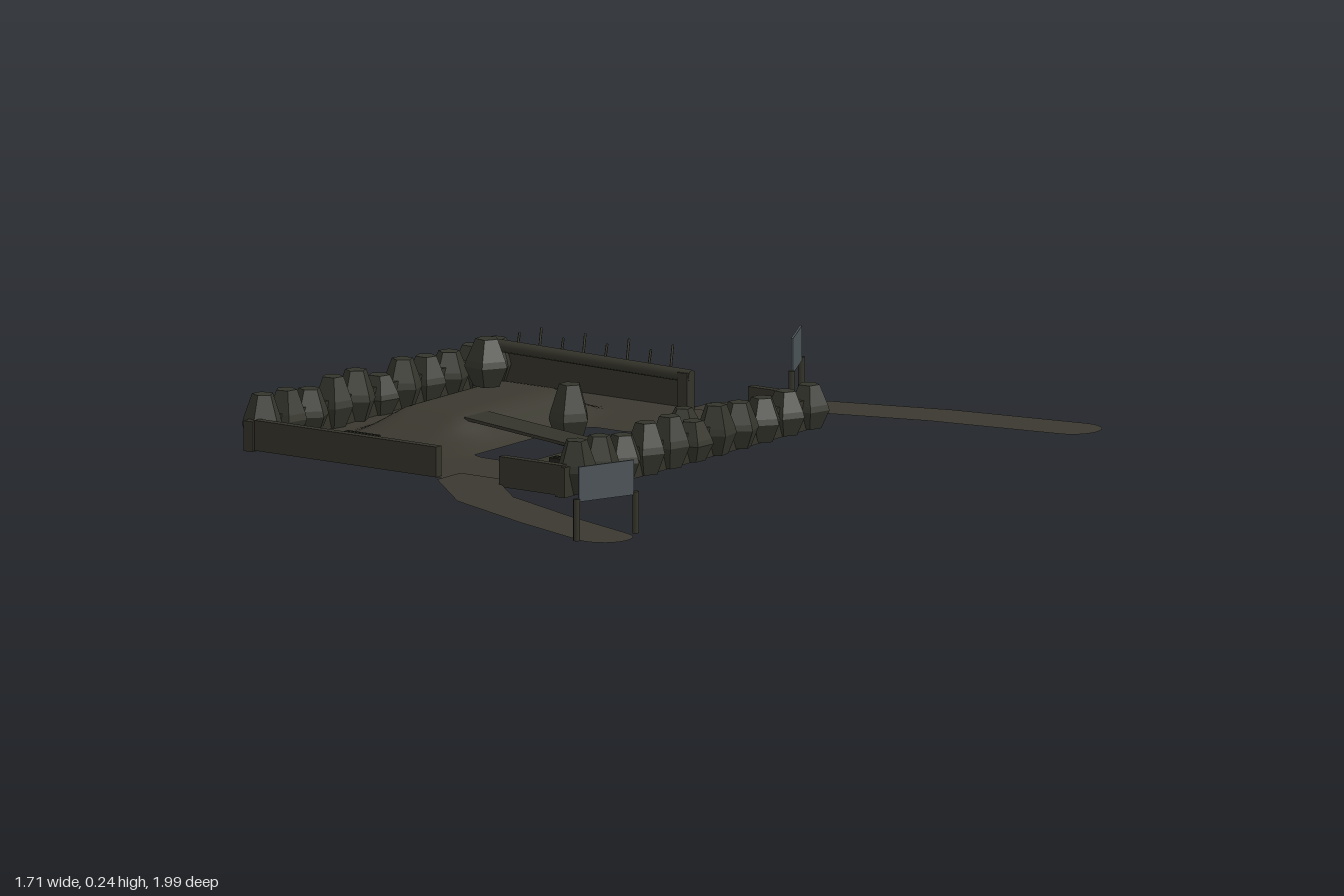
import * as THREE from 'three';

const material = (name, color, side = THREE.FrontSide, flatShading = false) => {
  const m = new THREE.MeshStandardMaterial({ color, side, flatShading });
  m.name = name;
  return m;
};

export function createModel() {
  const root = new THREE.Group();
  root.name = 'courseObstacle';
  const earth = material('earth', 0x3a382f, THREE.DoubleSide);
  const timber = material('timber', 0x34332a);
  const stone = material('stone', 0x34352c, THREE.FrontSide, true);
  const dark = material('darkSlats', 0x22211c);
  const steel = material('signGrey', 0x4b5357);
  const UP = new THREE.Vector3(0, 1, 0);

  const add = (name, geo, mat, x = 0, y = 0, z = 0, parent = root) => {
    const mesh = new THREE.Mesh(geo, mat);
    mesh.name = name;
    mesh.position.set(x, y, z);
    parent.add(mesh);
    return mesh;
  };
  const box = (name, mat, x0, x1, y0, y1, z0, z1) =>
    add(name, new THREE.BoxGeometry(x1 - x0, y1 - y0, z1 - z0), mat, (x0 + x1) / 2, (y0 + y1) / 2, (z0 + z1) / 2);
  const rod = (name, mat, a, b, r, sides) => {
    const from = new THREE.Vector3(...a), dir = new THREE.Vector3(...b).sub(from);
    const mesh = add(name, new THREE.CylinderGeometry(r, r, dir.length(), sides), mat);
    mesh.position.copy(from).addScaledVector(dir, 0.5);
    mesh.quaternion.setFromUnitVectors(UP, dir.normalize());
    return mesh;
  };

  // Ground: a grid with a low mound on the right and a rectangular opening
  const step = THREE.MathUtils.smoothstep;
  const height = (x, z) => {
    const mound = step(x, -0.74, -0.6) * (1 - step(x, -0.46, -0.31)) *
      step(z, -0.47, -0.32) * (1 - step(z, 0.04, 0.3));
    const dip = step(x, -0.36, -0.28) * (1 - step(x, -0.19, -0.06)) *
      step(z, -0.42, -0.26) * (1 - step(z, 0.18, 0.34));
    return 0.03 + 0.065 * mound - 0.012 * dip;
  };
  const ground = new THREE.PlaneGeometry(0.98, 1.12, 49, 56).rotateX(-Math.PI / 2).translate(-0.3, 0, -0.04);
  const p = ground.attributes.position;
  for (let i = 0; i < p.count; i++) p.setY(i, height(p.getX(i), p.getZ(i)));
  const kept = [];
  const index = ground.index.array;
  for (let i = 0; i < index.length; i += 3) {
    const tri = [index[i], index[i + 1], index[i + 2]];
    const cx = tri.reduce((s, k) => s + p.getX(k), 0) / 3;
    const cz = tri.reduce((s, k) => s + p.getZ(k), 0) / 3;
    const inside = cx > -0.31 && cx < -0.15 && cz > -0.28 && cz < 0.2;
    const corner = cx + 0.31 + cz + 0.28 < 0.04 || -0.15 - cx + 0.2 - cz < 0.04;
    if (!inside || corner) kept.push(...tri);
  }
  ground.setIndex(kept);
  ground.computeVertexNormals();
  add('ground', ground, earth);

  // Flat paths with mitred bends and a round end
  const path = (name, pts, half = 0.076) => {
    const v = pts.map(([x, z]) => new THREE.Vector2(x, -z));
    const left = [], right = [];
    let last;
    v.forEach((q, i) => {
      const a = i > 0 ? q.clone().sub(v[i - 1]).normalize() : v[1].clone().sub(q).normalize();
      const b = i < v.length - 1 ? v[i + 1].clone().sub(q).normalize() : a;
      const t = a.clone().add(b).normalize();
      const w = half / t.dot(a);
      const n = new THREE.Vector2(-t.y, t.x).multiplyScalar(w);
      left.push(q.clone().add(n));
      right.push(q.clone().sub(n));
      last = a.angle();
    });
    const end = v[v.length - 1];
    const cap = [];
    for (let i = 1; i < 12; i++) {
      const ang = last + Math.PI / 2 - (i * Math.PI) / 12;
      cap.push(new THREE.Vector2(end.x + half * Math.cos(ang), end.y + half * Math.sin(ang)));
    }
    const shape = new THREE.Shape([...left, ...cap, ...right.reverse()]);
    add(name, new THREE.ShapeGeometry(shape).rotateX(-Math.PI / 2), earth, 0, 0.036, 0);
  };
  path('frontPath', [[-0.09, 0.46], [-0.09, 0.53], [0.08, 0.69], [0.36, 0.81], [0.61, 0.9]]);
  path('backPath', [[-0.09, -0.55], [-0.09, -0.61], [0.04, -0.75], [0.41, -0.86], [0.785, -0.925]]);

  // Border boards, open where the paths enter
  for (const [z0, z1] of [[0.497, 0.52], [-0.6, -0.577]]) {
    box('borderBoard', timber, -0.78, -0.2, 0.03, 0.11, z0, z1);
    box('borderBoard', timber, 0, 0.2, 0.03, 0.11, z0, z1);
  }
  box('sideBoard', timber, -0.815, -0.785, 0.025, 0.105, -0.6, 0.52);
  box('sideBoard', timber, 0.18, 0.21, 0.025, 0.105, -0.6, 0.52);

  // Five-sided boulders
  const boulderShape = new THREE.LatheGeometry([[0, 0], [0.6, 0], [1, 0.42], [0.92, 0.55], [0.52, 1], [0, 1]]
    .map(([x, y]) => new THREE.Vector2(x, y)), 5);
  const boulder = (name, x, y, z, r, h, turn) => {
    const mesh = add(name, boulderShape, stone, x, y, z);
    mesh.scale.set(r, h, r);
    mesh.rotation.y = turn;
  };
  const rise = [0.115, 0.115, 0.115, 0.12, 0.13, 0.105, 0.135, 0.135, 0.12, 0.135, 0.14];
  rise.forEach((h, i) => {
    const z = -0.57 + i * 0.1025;
    boulder('rightBoulder', -0.8, 0.027, z, 0.055, h, i * 1.9);
    boulder('leftBoulder', 0.2, 0.027, z, 0.055, h, i * 2.3 + 0.7);
  });
  boulder('beamBoulder', -0.58, 0.1, -0.23, 0.06, 0.125, 0.4);
  boulder('postBoulder', 0.01, 0.03, -0.28, 0.045, 0.075, 1.1);
  boulder('openingBoulder', -0.25, 0, -0.14, 0.056, 0.16, 0.3);

  // Raised log with alternating twigs and its post
  rod('log', timber, [-0.63, 0.195, -0.292], [0, 0.178, -0.33], 0.017, 8);
  for (let i = 0; i < 8; i++) {
    const x = -0.535 + i * 0.067, z = -0.3 - i * 0.004;
    rod('twig', timber, [x, 0.19, z], [x - 0.04, i % 2 ? 0.237 : 0.217, z - 0.065], 0.0035, 5);
  }
  box('post', timber, -0.032, 0, 0.03, 0.188, -0.342, -0.31);

  // Thin plank across the opening
  const plank = add('plank', new THREE.BoxGeometry(0.38, 0.008, 0.1), timber, -0.24, 0.066, 0.03);
  plank.rotation.z = -0.09;

  // Small slatted grates
  for (const [x, z] of [[-0.615, -0.425], [-0.63, 0.26], [-0.015, 0.19]]) {
    for (let i = -1; i <= 1; i++) {
      add('grateSlat', new THREE.BoxGeometry(0.105, 0.016, 0.009), dark, x, height(x, z) + 0.008, z + i * 0.012);
    }
  }

  // Signs on two legs beside the paths
  const sign = (name, [ax, az], [bx, bz]) => {
    const group = new THREE.Group();
    group.name = name;
    group.position.set((ax + bx) / 2, 0, (az + bz) / 2);
    group.rotation.y = Math.atan2(az - bz, bx - ax);
    root.add(group);
    const w = Math.hypot(bx - ax, bz - az);
    add('signPanel', new THREE.BoxGeometry(w - 0.012, 0.092, 0.006), steel, 0, 0.185, 0, group);
    for (const s of [-1, 1]) {
      add('signLeg', new THREE.CylinderGeometry(0.009, 0.009, 0.11, 8), timber, (s * w) / 2, 0.092, 0, group);
    }
  };
  sign('frontSign', [0.585, 0.985], [0.65, 0.815]);
  sign('backSign', [-0.005, -0.82], [0.08, -0.66]);

  return root;
}
